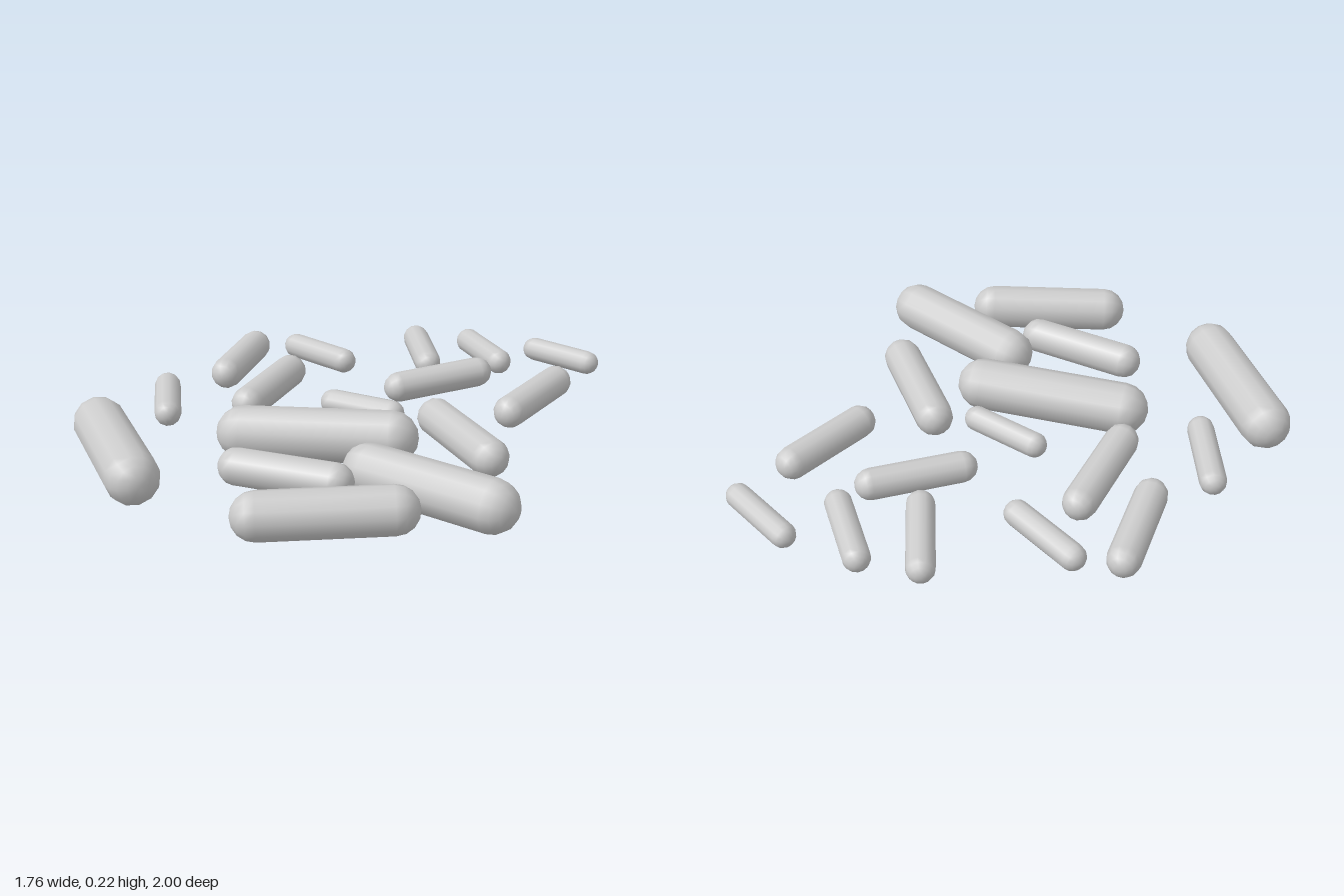
import * as THREE from 'three';

// Each grain: [radius, x1, z1, x2, z2, y1, y2], the centres of its two round ends
const GRAINS = [
  // large
  [0.100, -0.29, 0.36, 0.225, 0.153, 0.101, 0.122],
  [0.096, 0.28, 0.40, 0.78, 0.437],
  [0.099, -0.785, 0.59, -0.373, 0.897],
  [0.087, 0.142, 0.892, 0.52, 0.63],
  // medium
  [0.073, 0.262, -0.117, 0.60, 0.11],
  [0.069, -0.128, 0.622, 0.24, 0.561],
  [0.065, -0.47, -0.21, -0.407, 0.166],
  [0.062, -0.756, -0.37, -0.66, -0.037],
  [0.063, 0.475, -0.31, 0.505, -0.65],
  [0.059, -0.007, -0.296, 0.193, -0.577],
  // small
  [0.053, -0.22, -0.807, -0.024, -0.56],
  [0.051, -0.01, -0.894, 0.217, -0.725],
  [0.050, -0.605, -0.46, -0.33, -0.397],
  [0.051, -0.796, 0.172, -0.613, 0.4],
  [0.049, -0.148, -0.035, 0.111, -0.04],
  [0.047, 0.272, -0.955, 0.532, -0.902],
];

export function createModel() {
  const model = new THREE.Group();
  model.name = 'scatteredGrains';
  const material = new THREE.MeshStandardMaterial({ color: 0xcccccc });
  const up = new THREE.Vector3(0, 1, 0);

  GRAINS.forEach(([r, x1, z1, x2, z2, y1 = 0.11, y2 = 0.12], i) => {
    const a = new THREE.Vector3(x1, y1, z1);
    const b = new THREE.Vector3(x2, y2, z2);
    const axis = b.clone().sub(a);
    // Rounded rod laid along the line between its ends
    const grain = new THREE.Mesh(new THREE.CapsuleGeometry(r, axis.length(), 4, 12), material);
    grain.name = `grain${i + 1}`;
    grain.position.copy(a).add(b).multiplyScalar(0.5);
    grain.quaternion.setFromUnitVectors(up, axis.normalize());
    model.add(grain);
  });
  return model;
}
